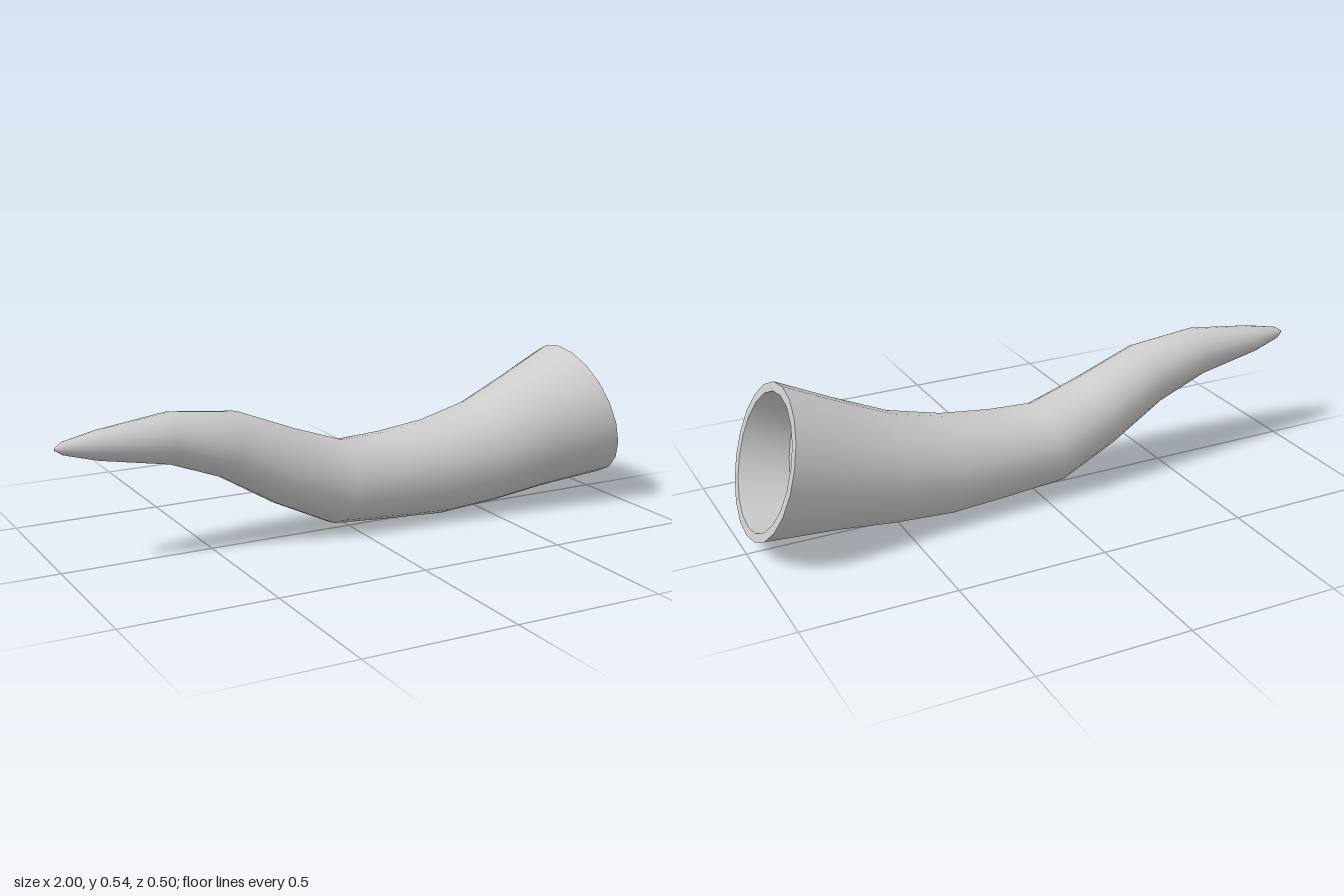
import * as THREE from 'three';

const SIDES = 20;

// Skin over elliptical rings, each [topX, topY, bottomX, bottomY, halfWidth]
function loft(name, rings, material) {
  const pos = [], idx = [];
  rings.forEach(([tx, ty, bx, by, w], i) => {
    for (let j = 0; j < SIDES; j++) {
      const a = (j / SIDES) * Math.PI * 2, c = Math.cos(a);
      pos.push((tx + bx) / 2 + ((tx - bx) / 2) * c, (ty + by) / 2 + ((ty - by) / 2) * c, w * Math.sin(a));
      if (i === rings.length - 1) continue;
      const k = (j + 1) % SIDES, p = i * SIDES, q = p + SIDES;
      idx.push(p + j, q + j, p + k, p + k, q + j, q + k);
    }
  });
  const geo = new THREE.BufferGeometry();
  geo.setAttribute('position', new THREE.Float32BufferAttribute(pos, 3));
  geo.setIndex(idx);
  geo.computeVertexNormals();
  const mesh = new THREE.Mesh(geo, material);
  mesh.name = name;
  return mesh;
}

export function createModel() {
  const group = new THREE.Group();
  group.name = 'horn';
  const material = new THREE.MeshStandardMaterial({ color: 0xcccccc });

  const outerRim = [0.845, 0.541, 0.995, 0.068, 0.25];
  const innerRim = [0.853, 0.513, 0.987, 0.095, 0.22];
  const floorRing = [0.735, 0.455, 0.81, 0.078, 0.2];
  const floorCentre = [0.7725, 0.2665, 0.7725, 0.2665, 0];

  // Curved outer body, from the mouth to the tip
  group.add(loft('hornBody', [
    outerRim,
    [0.66, 0.452, 0.74, 0.046, 0.215],
    [0.49, 0.377, 0.55, 0.02, 0.186],
    [0.31, 0.332, 0.34, 0.003, 0.166],
    [0.14, 0.312, 0.14, 0.013, 0.152],
    [-0.02, 0.304, -0.08, 0.029, 0.143],
    [-0.2, 0.366, -0.28, 0.125, 0.129],
    [-0.4, 0.446, -0.47, 0.24, 0.108],
    [-0.63, 0.471, -0.645, 0.306, 0.083],
    [-0.865, 0.441, -0.87, 0.347, 0.05],
    [-0.975, 0.418, -0.975, 0.377, 0.021],
    [-1, 0.402, -1, 0.394, 0.004],
    [-1, 0.398, -1, 0.398, 0],
  ], material));

  // Flat lip and shallow cavity of the mouth
  group.add(loft('mouthRim', [innerRim, outerRim], material));
  group.add(loft('cavityWall', [floorRing, innerRim], material));
  group.add(loft('cavityFloor', [floorCentre, floorRing], material));
  return group;
}
